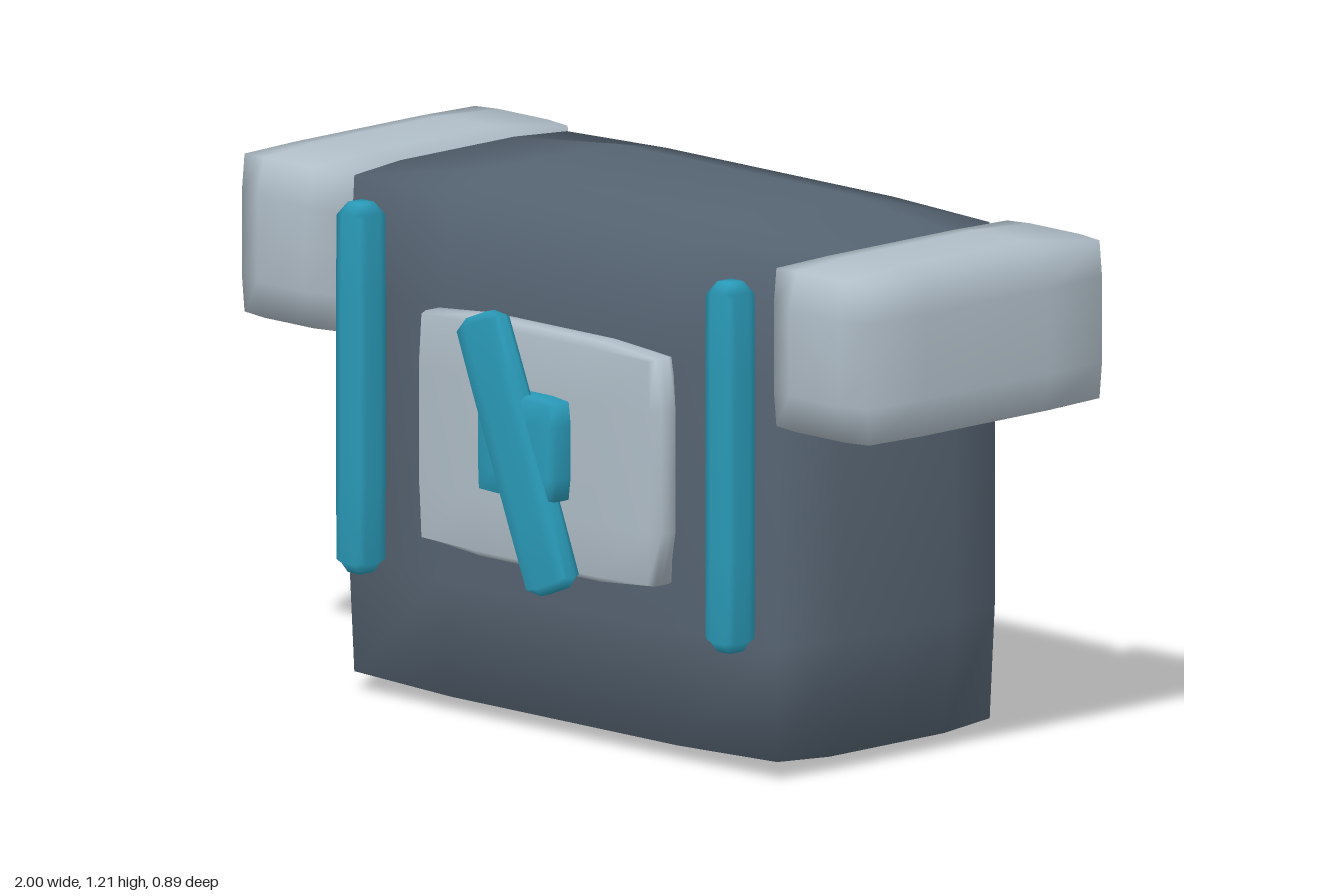
import * as THREE from 'three';
import { mergeVertices } from 'three/addons/utils/BufferGeometryUtils.js';

const SHELL = 0x566472, PALE = 0xb0bec8, TEAL = 0x2a9ab8;

// Box with gently bulged faces: edges and corners are pulled inwards, normals are smooth
function pillowBox(w, h, d) {
  let geo = new THREE.BoxGeometry(2, 2, 2, 4, 4, 4);
  geo.deleteAttribute('normal');
  geo.deleteAttribute('uv');
  geo = mergeVertices(geo);
  const pos = geo.attributes.position;
  const v = new THREE.Vector3();
  for (let i = 0; i < pos.count; i++) {
    v.fromBufferAttribute(pos, i);
    const extremes = v.toArray().filter((c) => Math.abs(c) > 0.99).length;
    const pull = [1, 1, 0.945, 0.93][extremes];
    // only the outermost coordinates move; the inner grid lines stay in place
    const [x, y, z] = v.toArray().map((c) => (Math.abs(c) > 0.99 ? c * pull : c));
    pos.setXYZ(i, (x * w) / 2, (y * h) / 2, (z * d) / 2);
  }
  geo.computeVertexNormals();
  return geo;
}

export function createModel() {
  const model = new THREE.Group();
  model.name = 'torso';

  // Adds a pillow box given its extents along each axis
  const add = (name, color, [x0, x1], [y0, y1], [z0, z1]) => {
    const mesh = new THREE.Mesh(
      pillowBox(x1 - x0, y1 - y0, z1 - z0),
      new THREE.MeshStandardMaterial({ color })
    );
    mesh.name = name;
    mesh.position.set((x0 + x1) / 2, (y0 + y1) / 2, (z0 + z1) / 2);
    model.add(mesh);
    return mesh;
  };

  // Main body and chest plate
  add('body', SHELL, [-0.72, 0.72], [0, 1.21], [-0.415, 0.295]);
  add('chestPlate', PALE, [-0.385, 0.385], [0.39, 0.935], [0.285, 0.37]);

  // Shoulders and vertical chest strips, mirrored left and right
  for (const [side, s] of [['left', 1], ['right', -1]]) {
    const span = (a, b) => (s > 0 ? [a, b] : [-b, -a]);
    add(side + 'Shoulder', PALE, span(0.685, 1), [0.8, 1.185], [-0.445, 0.325]);
    add(side + 'Strip', TEAL, span(0.545, 0.625), [0.29, 1.13], [0.29, 0.375]);
  }

  // Emblem block with a slanted bar across it
  add('emblemBlock', TEAL, [-0.118, 0.118], [0.56, 0.795], [0.35, 0.435]);
  const bar = add('emblemBar', TEAL, [-0.068, 0.068], [0.343, 0.983], [0.393, 0.445]);
  bar.rotation.z = 0.38;

  return model;
}
